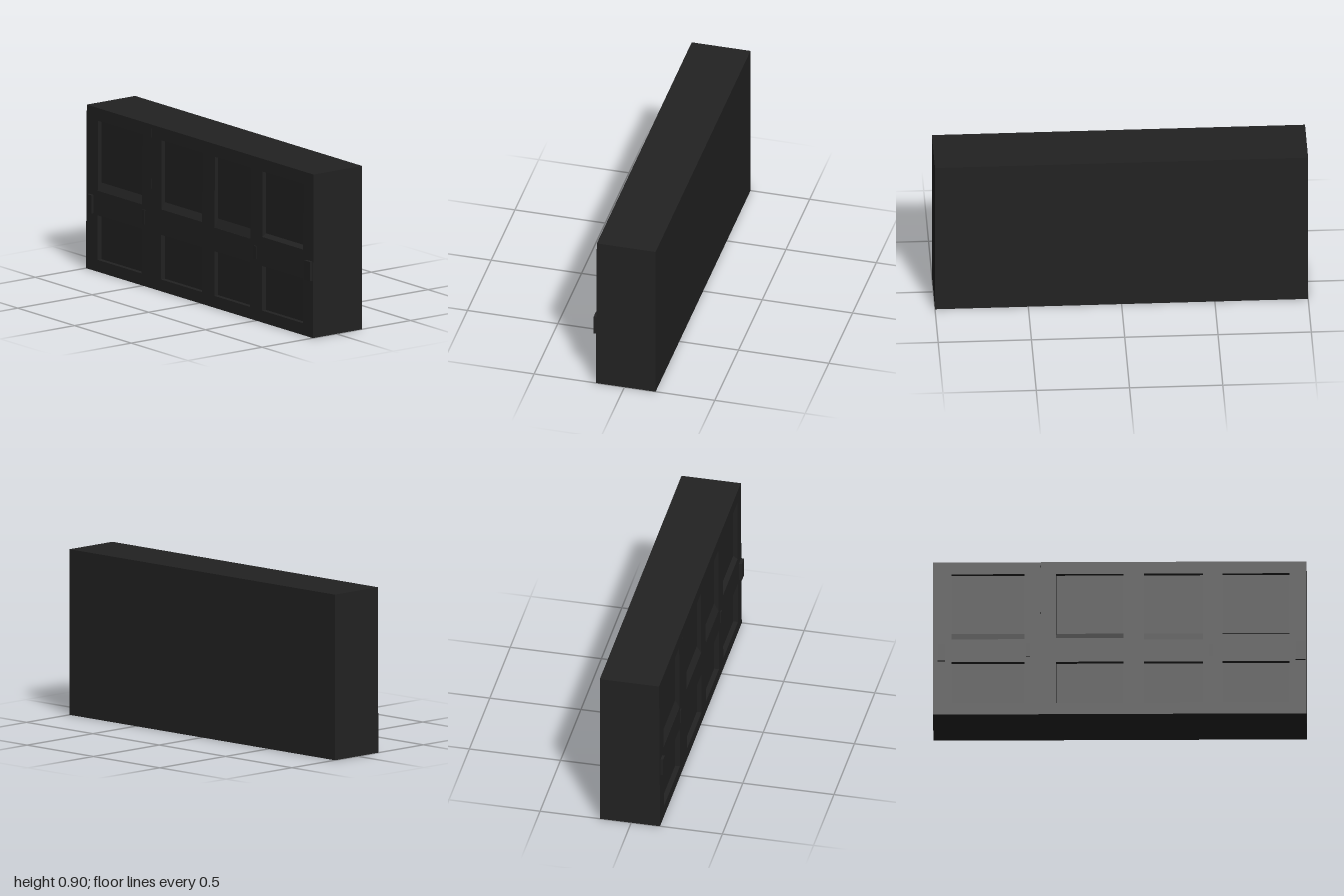
import * as THREE from 'three';

const BACK = -0.1725, RECESS = 0.131, FRONT = 0.156;

export function createModel() {
  const model = new THREE.Group();
  const charcoal = new THREE.MeshStandardMaterial({ color: 0x222222 });
  charcoal.name = 'charcoal';

  const add = (name, geometry, x = 0, y = 0, z = 0) => {
    const mesh = new THREE.Mesh(geometry, charcoal);
    mesh.name = name;
    mesh.position.set(x, y, z);
    model.add(mesh);
    return mesh;
  };

  // Solid carcass; its front forms the floor of every recess
  add('carcass', new THREE.BoxGeometry(2, 0.9, RECESS - BACK), 0, 0.45, (RECESS + BACK) / 2);

  // Front plate with recessed panels
  const plate = new THREE.Shape([[-1, 0], [1, 0], [1, 0.9], [-1, 0.9]].map(p => new THREE.Vector2(...p)));
  const cut = (x0, x1, y0, y1) => plate.holes.push(
    new THREE.Path([[x0, y0], [x0, y1], [x1, y1], [x1, y0]].map(p => new THREE.Vector2(...p))));

  // Each column: left, right, and bottom of its upper panel
  const columns = [
    { x0: -0.9, x1: -0.51, sill: 0.445 },
    { x0: -0.34, x1: 0.02, sill: 0.45 },
    { x0: 0.13, x1: 0.445, sill: 0.44 },
    { x0: 0.55, x1: 0.91, sill: 0.47 },
  ];
  for (const { x0, x1, sill } of columns) {
    cut(x0, x1, sill, 0.83);
    cut(x0, x1, 0.065, 0.31);
  }
  // Short slits of the door seam
  cut(-0.428, -0.423, 0.83, 0.88);
  cut(-0.428, -0.423, 0.55, 0.605);

  const plateGeometry = new THREE.ExtrudeGeometry(plate, { depth: FRONT - RECESS, bevelEnabled: false });
  // The face leans back slightly towards the top
  const pos = plateGeometry.attributes.position;
  for (let i = 0; i < pos.count; i++) {
    if (pos.getZ(i) > 0.01) pos.setZ(i, pos.getZ(i) + 0.002 - 0.005 * pos.getY(i) / 0.9);
  }
  plateGeometry.computeVertexNormals();
  add('frontPlate', plateGeometry, 0, 0, RECESS);

  // Sloped sill below each upper panel
  for (const { x0, x1, sill } of columns) {
    const depth = FRONT - RECESS - 0.001;
    const wedge = new THREE.Shape([[0, 0], [depth, 0], [0, 0.487 - sill]].map(p => new THREE.Vector2(...p)));
    const geometry = new THREE.ExtrudeGeometry(wedge, { depth: x1 - x0, bevelEnabled: false });
    geometry.rotateY(-Math.PI / 2);
    add('slopedSill', geometry, x1, sill, RECESS);
  }

  // Large outer handles and small inner latches
  const block = (name, x, w, y0, y1, front) =>
    add(name, new THREE.BoxGeometry(w, y1 - y0, front - 0.14), x, (y0 + y1) / 2, (front + 0.14) / 2);
  block('rightHandle', -0.955, 0.04, 0.315, 0.415, 0.17);
  block('leftHandle', 0.968, 0.055, 0.315, 0.42, 0.1725);
  block('rightLatch', -0.492, 0.022, 0.34, 0.42, 0.161);
  block('leftLatch', 0.49, 0.022, 0.34, 0.41, 0.161);

  return model;
}
